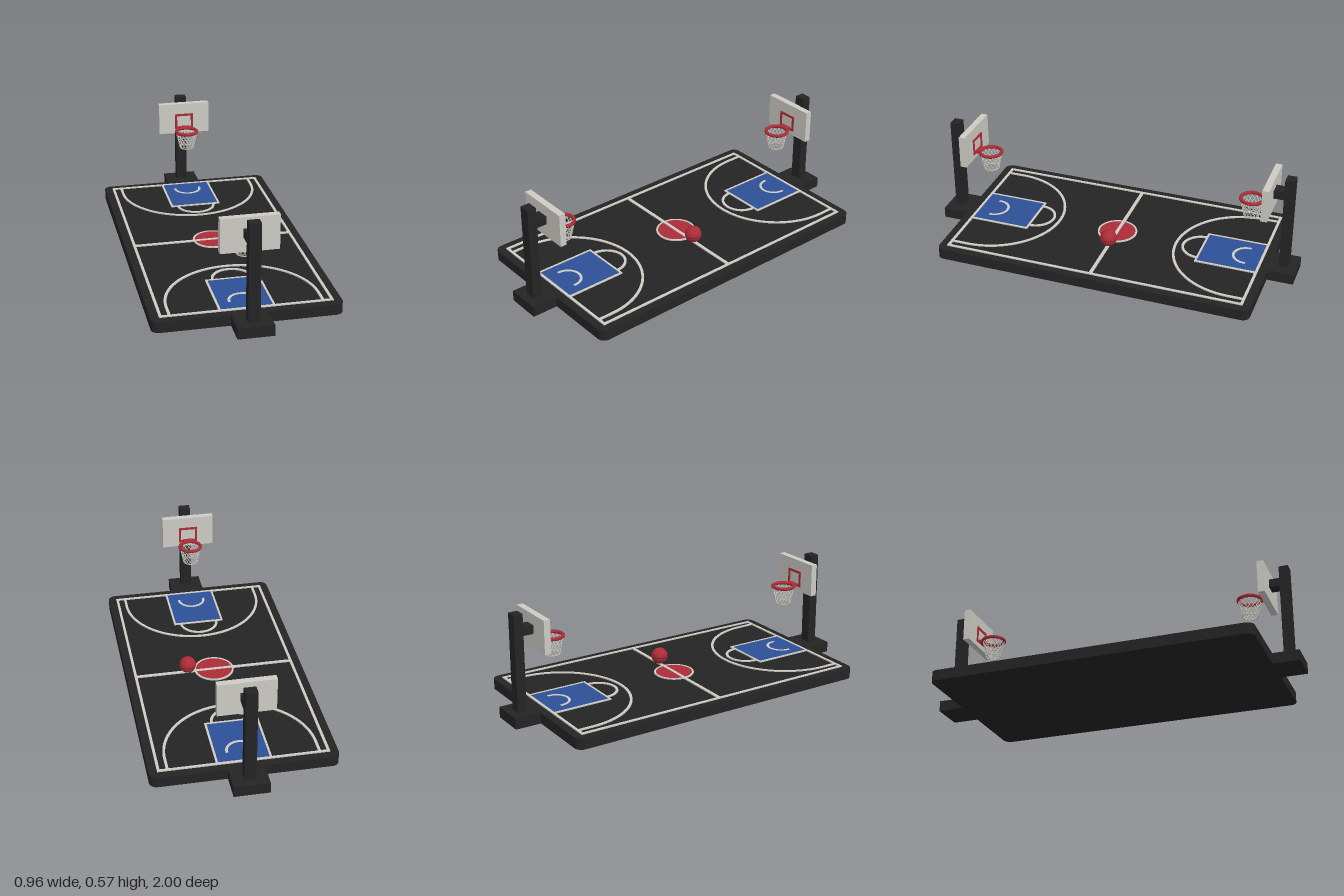
import * as THREE from 'three';

const material = (name, color, side = THREE.FrontSide) => {
  const m = new THREE.MeshStandardMaterial({ color, side });
  m.name = name;
  return m;
};

export function createModel() {
  const black = material('black', 0x242424);
  const white = material('warm white', 0xcdcbc4);
  const red = material('red', 0xab2c37);
  const blue = material('blue', 0x2e5098);

  const FLOOR = 0.058, LINE_TOP = 0.064, PAINT_TOP = 0.062, W = 0.014;
  const model = new THREE.Group();
  model.name = 'miniatureBasketballCourt';

  const add = (parent, name, geometry, mat, x = 0, y = 0, z = 0) => {
    const mesh = new THREE.Mesh(geometry, mat);
    mesh.name = name;
    mesh.position.set(x, y, z);
    parent.add(mesh);
    return mesh;
  };
  const box = (parent, name, mat, w, h, d, x, y, z) =>
    add(parent, name, new THREE.BoxGeometry(w, h, d), mat, x, y, z);

  // Extrudes a plan drawn in (x, z) between two heights
  const slab = (parent, name, shape, mat, bottom, top) => {
    const g = new THREE.ExtrudeGeometry(shape, { depth: top - bottom, bevelEnabled: false, curveSegments: 32 });
    g.rotateX(Math.PI / 2);
    return add(parent, name, g, mat, 0, top, 0);
  };
  const rect = (x0, z0, x1, z1, Type = THREE.Shape) =>
    new Type([[x0, z0], [x1, z0], [x1, z1], [x0, z1]].map(p => new THREE.Vector2(...p)));
  const frame = (x0, z0, x1, z1, w) => {
    const s = rect(x0, z0, x1, z1);
    s.holes.push(rect(x0 + w, z0 + w, x1 - w, z1 - w, THREE.Path));
    return s;
  };
  const ring = (rOut, rIn) => {
    const s = new THREE.Shape().absarc(0, 0, rOut, 0, Math.PI * 2);
    s.holes.push(new THREE.Path().absarc(0, 0, rIn, 0, Math.PI * 2));
    return s;
  };
  // Half circle towards the middle of the court with straight legs to zEnd
  const arch = (r, zc, zEnd, w) => {
    const i = r - w, s = new THREE.Shape();
    s.moveTo(r, zEnd);
    s.lineTo(r, zc);
    s.absarc(0, zc, r, 0, -Math.PI, true);
    s.lineTo(-r, zEnd);
    s.lineTo(-i, zEnd);
    s.lineTo(-i, zc);
    s.absarc(0, zc, i, -Math.PI, 0, false);
    s.lineTo(i, zEnd);
    return s;
  };

  // Court slab with rounded corners
  const X = 0.48, Z = 0.86, R = 0.04;
  const plan = new THREE.Shape();
  plan.absarc(X - R, Z - R, R, 0, Math.PI / 2);
  plan.absarc(-X + R, Z - R, R, Math.PI / 2, Math.PI);
  plan.absarc(-X + R, -Z + R, R, Math.PI, Math.PI * 1.5);
  plan.absarc(X - R, -Z + R, R, Math.PI * 1.5, Math.PI * 2);
  slab(model, 'courtBase', plan, black, 0, FLOOR);

  // Boundary, halfway line and centre circle
  slab(model, 'boundaryLine', frame(-0.437, -0.817, 0.437, 0.817, W), white, FLOOR, LINE_TOP);
  slab(model, 'halfwayLine', rect(-0.43, -0.009, 0.43, 0.009), white, FLOOR, LINE_TOP);
  slab(model, 'centreCircleLine', ring(0.108, 0.098), white, FLOOR, LINE_TOP);
  slab(model, 'centreCircleFill', new THREE.Shape().absarc(0, 0, 0.1, 0, Math.PI * 2), red, FLOOR, PAINT_TOP);

  // One end: markings, stand, backboard and hoop
  const buildEnd = (name) => {
    const end = new THREE.Group();
    end.name = name;

    slab(end, 'keyFill', rect(-0.138, 0.482, 0.138, 0.81), blue, FLOOR, PAINT_TOP);
    slab(end, 'keyLine', frame(-0.142, 0.476, 0.142, 0.817, 0.011), white, FLOOR, LINE_TOP);
    slab(end, 'threePointLine', arch(0.392, 0.722, 0.81, W), white, FLOOR, LINE_TOP);
    slab(end, 'freeThrowArc', arch(0.109, 0.478, 0.482, W), white, FLOOR, LINE_TOP);
    slab(end, 'restrictedArc', arch(0.079, 0.727, 0.735, W), white, FLOOR, LINE_TOP);

    box(end, 'standFoot', black, 0.184, FLOOR, 0.16, 0, FLOOR / 2, 0.92);
    box(end, 'post', black, 0.06, 0.535, 0.05, 0, 0.3075, 0.931);
    box(end, 'arm', black, 0.066, 0.045, 0.075, 0, 0.484, 0.879);
    box(end, 'backboard', white, 0.294, 0.179, 0.035, 0, 0.474, 0.834);

    // Target frame on the playing face of the board
    const target = new THREE.ExtrudeGeometry(frame(-0.053, 0.412, 0.053, 0.502, 0.012), { depth: 0.006, bevelEnabled: false });
    add(end, 'targetFrame', target, red, 0, 0, 0.811);

    // Hoop and bracket
    const HZ = 0.736, HY = 0.42;
    const hoop = new THREE.TorusGeometry(0.059, 0.0095, 10, 40);
    hoop.rotateX(Math.PI / 2);
    add(end, 'hoop', hoop, red, 0, HY, HZ);
    box(end, 'hoopBracket', red, 0.06, 0.016, 0.022, 0, HY, 0.806);

    // Net of crossing slanted strands
    const net = new THREE.Group();
    net.name = 'net';
    net.position.set(0, HY, HZ);
    end.add(net);
    const COUNT = 16, DROP = 0.097;
    for (const dir of [1, -1]) {
      const pts = [];
      for (let i = 0; i <= 6; i++) {
        const t = i / 6, r = 0.061 - 0.021 * t, a = dir * t * 1.2;
        pts.push(new THREE.Vector3(r * Math.cos(a), -DROP * t, r * Math.sin(a)));
      }
      const strand = new THREE.TubeGeometry(new THREE.CatmullRomCurve3(pts), 10, 0.0023, 5);
      for (let k = 0; k < COUNT; k++) {
        add(net, 'netStrand', strand, white).rotation.y = (k / COUNT) * Math.PI * 2;
      }
    }
    const hem = new THREE.TorusGeometry(0.04, 0.0025, 6, 32);
    hem.rotateX(Math.PI / 2);
    add(net, 'netHem', hem, white, 0, -DROP, 0);
    return end;
  };
  model.add(buildEnd('frontEnd'));
  const back = buildEnd('backEnd');
  back.rotation.y = Math.PI;
  model.add(back);

  // Ball: two red halves around a darker recessed core
  const ball = new THREE.Group();
  ball.name = 'ball';
  ball.position.set(0.145, 0.108, 0);
  model.add(ball);
  add(ball, 'ballCore', new THREE.SphereGeometry(0.0425, 32, 20), black);
  const gap = 0.05;
  add(ball, 'ballUpperHalf', new THREE.SphereGeometry(0.045, 36, 16, 0, Math.PI * 2, 0, Math.PI / 2 - gap), red);
  add(ball, 'ballLowerHalf', new THREE.SphereGeometry(0.045, 36, 16, 0, Math.PI * 2, Math.PI / 2 + gap, Math.PI / 2 - gap), red);
  // Lips closing each half towards the seam
  for (const s of [1, -1]) {
    const lip = new THREE.RingGeometry(0.042, 0.045 * Math.cos(gap), 36);
    lip.rotateX(s * Math.PI / 2);
    add(ball, 'ballSeamLip', lip, red, 0, s * 0.045 * Math.sin(gap), 0);
  }

  return model;
}
